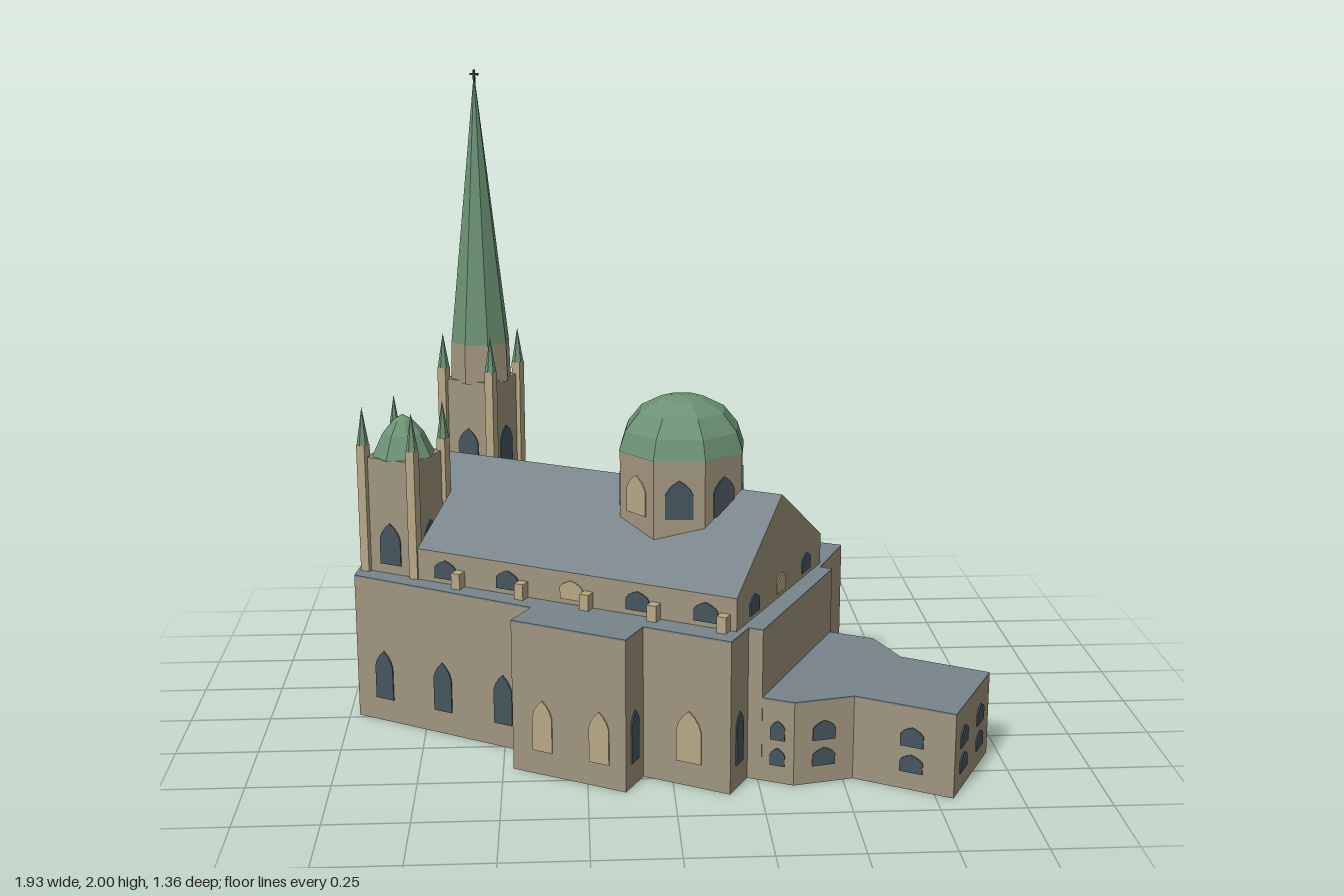
import * as THREE from 'three';

const material = (name, color) => new THREE.MeshStandardMaterial({ name, color, flatShading: true });

export function createModel() {
  const wall = material('wall stone', 0xa0957e);
  const stone = material('pale stone', 0xb8a886);
  const slate = material('roof slate', 0x78858a);
  const copper = material('green copper', 0x6c9274);
  const glass = material('window glass', 0x46555d);
  const iron = material('dark iron', 0x33382f);

  const model = new THREE.Group();
  model.name = 'church';

  // The nave axis is turned against the world axes; local x runs west to east
  const church = new THREE.Group();
  church.name = 'naveAndTowers';
  church.rotation.y = -0.494;
  church.position.set(-0.024, 0, 0.044);
  model.add(church);

  const add = (parent, name, geometry, mat, x = 0, y = 0, z = 0) => {
    const mesh = new THREE.Mesh(geometry, mat);
    mesh.name = name;
    mesh.position.set(x, y, z);
    parent.add(mesh);
    return mesh;
  };
  const box = (parent, name, mat, w, y0, y1, d, x, z) =>
    add(parent, name, new THREE.BoxGeometry(w, y1 - y0, d), mat, x, (y0 + y1) / 2, z);
  const shapeOf = (points) => new THREE.Shape(points.map(([x, y]) => new THREE.Vector2(x, y)));

  // Flat-roofed block standing on a plan outline
  const block = (name, outline, height) => {
    const shape = shapeOf(outline.map(([x, z]) => [x, -z]));
    const slab = (depth) =>
      new THREE.ExtrudeGeometry(shape, { depth, bevelEnabled: false }).rotateX(-Math.PI / 2);
    add(model, name + 'Walls', slab(height - 0.005), wall);
    add(model, name + 'Roof', slab(0.005), slate, 0, height - 0.005);
  };

  // Triangular roof along the nave axis, stone at its ends
  const gable = (name, x0, x1, half, eave, ridge) => {
    const shape = shapeOf([[-half, eave], [half, eave], [0, ridge]]);
    const geometry = new THREE.ExtrudeGeometry(shape, { depth: x1 - x0, bevelEnabled: false });
    add(church, name, geometry.rotateY(Math.PI / 2), [wall, slate], x0);
  };

  // Thin pointed window plate facing direction (nx, nz)
  const pane = (parent, x, z, nx, nz, y0, y1, w, mat = glass) => {
    const h = y1 - y0;
    const spring = Math.max(h * 0.62, h - w * 0.8);
    const shape = new THREE.Shape();
    shape.moveTo(-w / 2, 0);
    shape.lineTo(w / 2, 0);
    shape.lineTo(w / 2, spring);
    shape.quadraticCurveTo(w * 0.4, spring + (h - spring) * 0.6, 0, h);
    shape.quadraticCurveTo(-w * 0.4, spring + (h - spring) * 0.6, -w / 2, spring);
    const geometry = new THREE.ExtrudeGeometry(shape, { depth: 0.006, bevelEnabled: false, curveSegments: 3 });
    const mesh = add(parent, 'window', geometry.translate(0, 0, -0.002), mat, x, y0, z);
    mesh.rotation.y = Math.atan2(nx, nz);
  };
  // Windows at fractions along the wall from p to q
  const windows = (p, q, fractions, y0, y1, w, mat) => {
    for (const t of fractions) {
      pane(model, p[0] + (q[0] - p[0]) * t, p[1] + (q[1] - p[1]) * t, p[1] - q[1], q[0] - p[0], y0, y1, w, mat);
    }
  };

  // Main body: aisles, transepts and west front
  const body = [
    [-0.97, -0.02], [-0.413, 0.305], [-0.47, 0.41], [-0.14, 0.59], [-0.085, 0.485], [0.16, 0.62],
    [0.22, 0.51], [0.26, 0.53], [0.535, 0], [0.5, -0.02], [0.6, -0.24], [0.07, -0.48],
    [0.02, -0.38], [-0.64, -0.68], [-0.78, -0.56], [-0.94, -0.26],
  ];
  block('body', body, 0.47);
  const bodyWindows = [
    [0, [0.16, 0.5, 0.84], 0.065], [2, [0.27, 0.77], 0.065, stone], [3, [0.5], 0.05],
    [4, [0.53], 0.08, stone], [5, [0.5], 0.05], [9, [0.43], 0.085, stone],
    [10, [0.24, 0.72], 0.07], [12, [0.2, 0.5, 0.8], 0.065], [13, [0.5], 0.065], [15, [0.5], 0.065],
  ];
  for (const [i, fractions, w, mat] of bodyWindows) {
    windows(body[i], body[i + 1] || body[0], fractions, 0.075, 0.235, w, mat);
  }
  windows(body[14], body[15], [0.14, 0.38, 0.62, 0.86], 0.05, 0.21, 0.055);

  // Low annex at the east end with two rows of windows
  const annex = [
    [0.22, 0.51], [0.35, 0.57], [0.53, 0.53], [0.8, 0.68],
    [0.965, 0.37], [0.72, 0.23], [0.66, 0.07], [0.52, 0],
  ];
  block('annex', annex, 0.26);
  const annexWindows = [[0.65], [0.5], [0.58], [0.25, 0.73], [0.5], [0.5], [0.55]];
  annexWindows.forEach((fractions, i) => {
    for (const [y0, y1] of [[0.055, 0.11], [0.135, 0.195]]) {
      windows(annex[i], annex[i + 1], fractions, y0, y1, i === 0 ? 0.045 : 0.07);
    }
  });

  // Nave clerestory and roof
  box(church, 'naveWalls', wall, 1.077, 0.46, 0.57, 0.68, -0.1215, 0);
  gable('naveRoof', -0.66, 0.417, 0.34, 0.57, 0.79);
  box(church, 'westBayWalls', wall, 0.28, 0.46, 0.69, 0.3, -0.79, 0);
  gable('westBayRoof', -0.93, -0.65, 0.15, 0.69, 0.79);
  for (const side of [-1, 1]) {
    for (let i = 0; i < 5; i++) {
      const mat = side > 0 && i === 2 ? stone : glass;
      pane(church, -0.56 + 0.22 * i, side * 0.34, 0, side, 0.485, 0.545, 0.075, mat);
      box(church, 'buttress', stone, 0.03, 0.465, 0.52, 0.035, -0.506 + 0.222 * i, side * 0.355);
    }
  }
  for (const z of [-0.21, 0, 0.21]) {
    pane(church, 0.417, z, 1, 0, 0.485, 0.545, 0.07, z ? glass : stone);
  }

  // West front gable with rose window
  box(church, 'westFront', wall, 0.045, 0, 0.57, 0.34, -0.933, 0);
  gable('westGable', -0.9555, -0.91, 0.17, 0.57, 0.87);
  const rose = new THREE.Group();
  rose.name = 'roseWindow';
  rose.position.set(-0.957, 0.55, 0);
  rose.rotation.y = -Math.PI / 2;
  church.add(rose);
  add(rose, 'roseGlass', new THREE.CylinderGeometry(0.125, 0.125, 0.008, 24).rotateX(Math.PI / 2), glass);
  add(rose, 'roseRim', new THREE.TorusGeometry(0.125, 0.006, 4, 24), wall);
  add(rose, 'roseHub', new THREE.TorusGeometry(0.03, 0.004, 4, 12), wall, 0, 0, 0.004);
  for (let i = 0; i < 4; i++) {
    const spoke = add(rose, 'roseSpoke', new THREE.BoxGeometry(0.25, 0.006, 0.006), wall, 0, 0, 0.004);
    spoke.rotation.z = (i * Math.PI) / 4;
  }

  // Square towers with corner piers and pinnacles
  const tower = (name, z, top, pierTop, tip, windowRows) => {
    const group = new THREE.Group();
    group.name = name;
    group.position.set(-0.764, 0, z);
    church.add(group);
    box(group, 'towerWalls', wall, 0.18, 0.4, top, 0.18, 0, 0);
    for (const sx of [-1, 1]) {
      for (const sz of [-1, 1]) {
        box(group, 'pier', stone, 0.03, 0.4, pierTop, 0.03, sx * 0.09, sz * 0.09);
        const cone = new THREE.ConeGeometry(0.019, tip - pierTop, 6);
        add(group, 'pinnacle', cone, copper, sx * 0.09, (tip + pierTop) / 2, sz * 0.09);
      }
    }
    for (const [y0, y1] of windowRows) {
      for (const [nx, nz] of [[1, 0], [-1, 0], [0, 1], [0, -1]]) {
        pane(group, nx * 0.09, nz * 0.09, nx, nz, y0, y1, 0.075);
      }
    }
    return group;
  };
  const lathe = (points) => new THREE.LatheGeometry(points.map(([r, y]) => new THREE.Vector2(r, y)), 8);

  const south = tower('southTower', 0.241, 0.84, 0.88, 1.0, [[0.5, 0.635]]);
  add(south, 'towerCap', lathe([[0.1, 0.838], [0.065, 0.91], [0.03, 0.95], [0, 0.967]]), copper);

  const north = tower('northTower', -0.241, 0.99, 1.03, 1.145, [[0.5, 0.625], [0.705, 0.83]]);
  add(north, 'spireBase', new THREE.CylinderGeometry(0.098, 0.102, 0.13, 8), wall, 0, 1.047, 0);
  add(north, 'spire', new THREE.CylinderGeometry(0.003, 0.098, 0.855, 8), copper, 0, 1.5395, 0);
  box(north, 'crossPost', iron, 0.006, 1.95, 2, 0.006, 0, 0);
  box(north, 'crossArm', iron, 0.03, 1.982, 1.989, 0.006, 0, 0);

  // Octagonal drum and dome over the crossing
  const crossing = new THREE.Group();
  crossing.name = 'crossingDome';
  crossing.position.set(0.086, 0, 0);
  church.add(crossing);
  add(crossing, 'drum', new THREE.CylinderGeometry(0.2, 0.2, 0.3, 8), wall, 0, 0.755, 0);
  add(crossing, 'dome', lathe([[0.203, 0.904], [0.182, 0.965], [0.137, 1.02], [0.07, 1.055], [0, 1.065]]), copper);
  for (let i = 0; i < 8; i++) {
    const a = ((i + 0.5) * Math.PI) / 4;
    const r = 0.2 * Math.cos(Math.PI / 8);
    pane(crossing, Math.sin(a) * r, Math.cos(a) * r, Math.sin(a), Math.cos(a), 0.725, 0.845, 0.085, i === 7 ? stone : glass);
  }

  return model;
}
